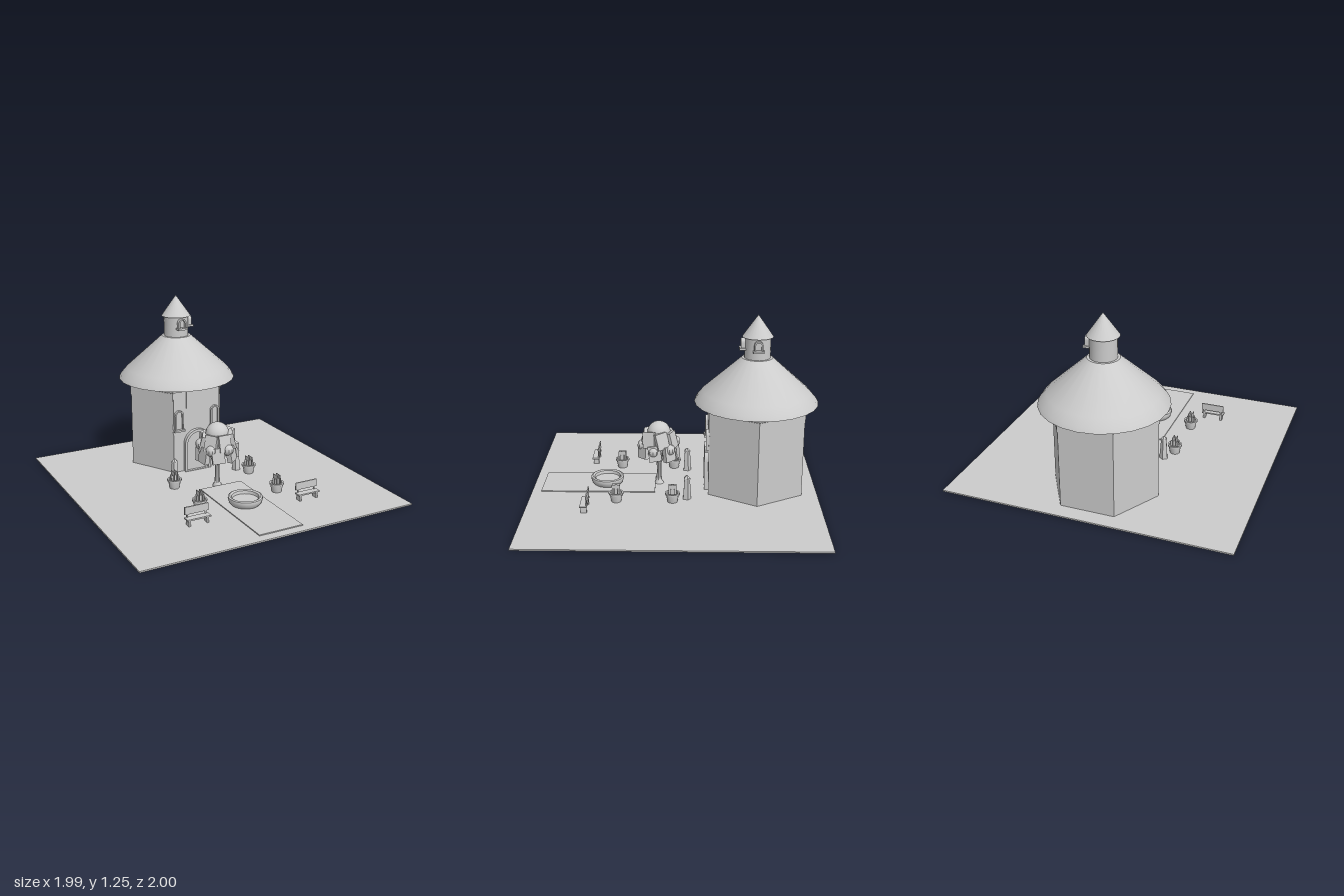
import * as THREE from 'three';
import { toCreasedNormals } from 'three/addons/utils/BufferGeometryUtils.js';

export function createModel() {
  const model = new THREE.Group();
  model.name = 'courtyardTower';
  const stone = new THREE.MeshStandardMaterial({ color: 0xcccccc });
  stone.name = 'light grey';
  stone.side = THREE.DoubleSide;

  const add = (parent, name, geo, x = 0, y = 0, z = 0) => {
    const mesh = new THREE.Mesh(toCreasedNormals(geo, 0.6), stone);
    mesh.name = name;
    mesh.position.set(x, y, z);
    parent.add(mesh);
    return mesh;
  };
  const group = (parent, name, x = 0, y = 0, z = 0) => {
    const g = new THREE.Group();
    g.name = name;
    g.position.set(x, y, z);
    parent.add(g);
    return g;
  };
  const box = (w, h, d) => new THREE.BoxGeometry(w, h, d);
  const lathe = (pts, n) => new THREE.LatheGeometry(pts.map(p => new THREE.Vector2(...p)), n);
  // Prism standing from y0 to y1; six-sided ones have a flat front
  const prism = (r0, r1, y0, y1, n) => new THREE.CylinderGeometry(r1, r0, y1 - y0, n)
    .rotateY(Math.PI / n).translate(0, (y0 + y1) / 2, 0);

  // Round-headed outline with its foot at y = base
  const archPath = (P, r, h, base) => {
    const p = new P();
    p.moveTo(-r, base);
    p.lineTo(r, base);
    p.lineTo(r, h - r);
    p.absarc(0, h - r, r, 0, Math.PI, false);
    p.lineTo(-r, base);
    return p;
  };
  // Arched frame with an inset panel and an optional sill
  const arch = (parent, name, r, h, depth, rim, sill) => {
    const g = group(parent, name);
    const frame = archPath(THREE.Shape, r, h, 0);
    frame.holes.push(archPath(THREE.Path, r - rim, h - rim, 0.003));
    add(g, 'frame', new THREE.ExtrudeGeometry(frame, { depth, bevelEnabled: false, curveSegments: 10 }));
    add(g, 'panel', new THREE.ExtrudeGeometry(archPath(THREE.Shape, r - rim, h - rim, 0),
      { depth: depth * 0.3, bevelEnabled: false, curveSegments: 10 }));
    if (sill) add(g, 'sill', box(r * 2 + 0.015, 0.014, depth + 0.012), 0, 0.004, depth / 2 + 0.004);
    return g;
  };

  // Ground and path
  add(model, 'ground', box(1.99, 0.01, 2), 0, 0.005, 0);
  add(model, 'path', box(0.32, 0.008, 0.8), 0, 0.013, 0.535);

  // Hexagonal building
  const house = group(model, 'building', 0, 0, -0.567);
  add(house, 'walls', prism(0.372, 0.372, 0.01, 0.62, 6));
  add(house, 'wallBand', prism(0.376, 0.376, 0.55, 0.61, 6));
  add(house, 'eavesPlate', prism(0.395, 0.395, 0.62, 0.645, 6));
  add(house, 'frontWallFace', box(0.37, 0.61, 0.008), 0, 0.315, 0.324);
  add(house, 'frontPanel', box(0.165, 0.17, 0.006), 0, 0.535, 0.329);
  add(house, 'roof', lathe([[0, 0.642], [0.43, 0.642], [0.415, 0.668], [0.37, 0.72],
    [0.107, 0.957], [0, 0.957]], 24));

  // Lantern turret
  add(house, 'turret', prism(0.09, 0.09, 0.95, 1.106, 24));
  add(house, 'turretRoof', lathe([[0, 1.104], [0.107, 1.104], [0, 1.255]], 24));
  for (const turn of [0, Math.PI / 2]) {
    const w = arch(house, 'turretWindow', 0.03, 0.078, 0.035, 0.01, true);
    w.position.set(Math.sin(turn) * 0.08, 1.017, Math.cos(turn) * 0.08);
    w.rotation.y = turn;
  }

  // Door and front windows
  arch(house, 'door', 0.105, 0.315, 0.032, 0.02, false).position.set(0, 0.01, 0.324);
  for (const s of [-1, 1])
    arch(house, 'frontWindow', 0.035, 0.155, 0.022, 0.011, true).position.set(s * 0.145, 0.328, 0.325);

  // Fountain basin
  add(model, 'fountainBasin', lathe([[0, 0.012], [0.095, 0.012], [0.11, 0.03], [0.118, 0.055],
    [0.116, 0.068], [0.105, 0.073], [0.092, 0.066], [0.088, 0.045], [0, 0.042]], 28), 0, 0, 0.48);

  // Tree: trunk with branches, and a crown of leafy slabs around a dome
  const tree = group(model, 'tree', -0.015, 0, 0.11);
  add(tree, 'trunk', lathe([[0.034, 0.01], [0.02, 0.035], [0.016, 0.1], [0.018, 0.18], [0.03, 0.24]], 10));
  for (let i = 0; i < 4; i++) {
    const a = i * Math.PI / 2 + 0.4;
    const curve = new THREE.QuadraticBezierCurve3(new THREE.Vector3(0, 0.15, 0),
      new THREE.Vector3(Math.cos(a) * 0.02, 0.2, Math.sin(a) * 0.02),
      new THREE.Vector3(Math.cos(a) * 0.08, 0.27, Math.sin(a) * 0.08));
    add(tree, 'branch', new THREE.TubeGeometry(curve, 6, 0.009, 6));
  }
  add(tree, 'crownTop', new THREE.SphereGeometry(0.083, 20, 14), 0, 0.397, 0);
  add(tree, 'crownCore', new THREE.SphereGeometry(0.115, 16, 12).scale(1, 0.85, 1), 0, 0.32, 0);
  for (let i = 0; i < 14; i++) {
    const a = i * Math.PI * 2 / 7 + (i > 6 ? 0.45 : 0);
    const low = i > 6, wobble = Math.sin(i * 7.3);
    const r = low ? 0.118 : 0.102;
    const leaf = add(tree, 'leafSlab', box(0.088, low ? 0.11 : 0.115, 0.035),
      Math.sin(a) * r, (low ? 0.268 : 0.355) + wobble * 0.012, Math.cos(a) * r);
    leaf.rotation.set(low ? -0.12 : -0.25, a + wobble * 0.3, wobble * 0.14, 'YXZ');
  }
  for (let i = 0; i < 6; i++) {
    const a = i * Math.PI / 3 + 0.2;
    add(tree, 'leafClump', new THREE.SphereGeometry(0.04, 10, 8),
      Math.sin(a) * 0.115, 0.31 + 0.02 * Math.sin(i * 5), Math.cos(a) * 0.115);
  }

  // Everything standing in mirrored pairs
  for (const s of [-1, 1]) {
    for (const z of [0.008, 0.395]) {
      const pot = group(model, 'planter', s * 0.3, 0, z);
      add(pot, 'pot', lathe([[0, 0.01], [0.034, 0.01], [0.045, 0.062], [0.051, 0.064], [0.051, 0.076],
        [0.039, 0.076], [0.037, 0.066], [0, 0.066]], 16));
      for (let i = 0; i < 2; i++) {
        add(pot, 'leafBlade', box(0.004, 0.068, 0.055), i * 0.024 - 0.012, 0.1, 0);
        add(pot, 'leafBlade', box(0.055, 0.045, 0.004), 0, 0.085, i * 0.024 - 0.012);
      }
      add(pot, 'stem', prism(0.011, 0.008, 0.06, 0.134, 6));
    }

    // Tapered posts
    const post = group(model, 'post', s * 0.25, 0, -0.09);
    add(post, 'shaft', prism(0.031, 0.021, 0.01, 0.155, 5));
    add(post, 'cap', prism(0.026, 0.024, 0.155, 0.163, 5));
    add(post, 'tip', prism(0.022, 0.006, 0.163, 0.182, 5));

    // Benches facing the front
    const bench = group(model, 'bench', s * 0.418, 0, 0.6);
    add(bench, 'seat', box(0.168, 0.01, 0.05), 0, 0.056, 0);
    add(bench, 'backrest', box(0.168, 0.052, 0.009), 0, 0.106, -0.02);
    for (const x of [-0.065, 0.065]) {
      add(bench, 'backSupport', box(0.01, 0.04, 0.008), x, 0.075, -0.02);
      add(bench, 'leg', box(0.014, 0.045, 0.04), x, 0.031, -0.002);
    }
  }
  return model;
}
